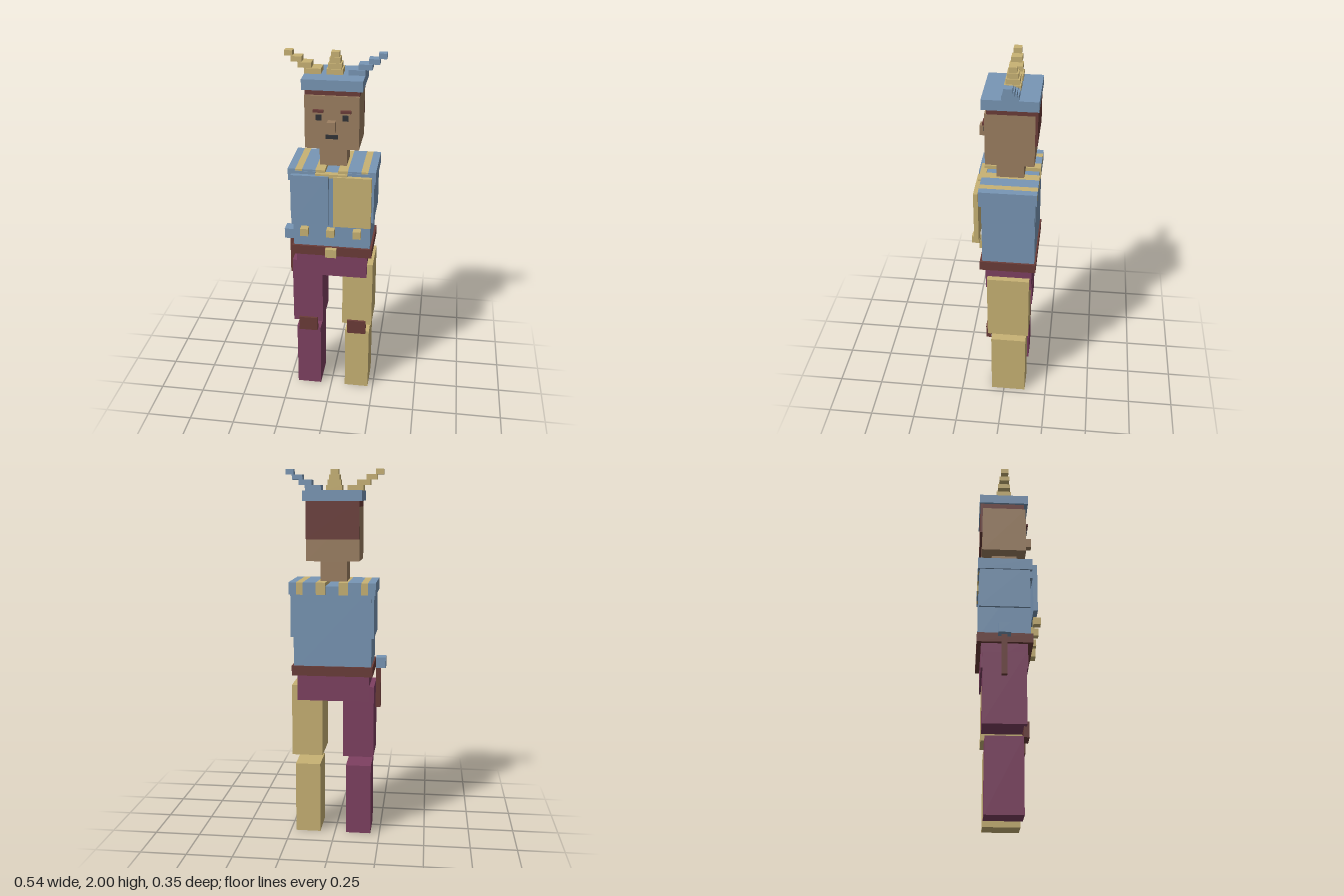
import * as THREE from 'three';

const mat = (name, color) => {
  const m = new THREE.MeshStandardMaterial({ color });
  m.name = name;
  return m;
};

export function createModel() {
  const blue = mat('blue cloth', 0x7896b5);
  const gold = mat('gold cloth', 0xc8b274);
  const skin = mat('skin', 0x9c7f61);
  const leather = mat('dark red leather', 0x6b3c38);
  const plum = mat('plum cloth', 0x7e4061);
  const dark = mat('dark features', 0x303236);

  const model = new THREE.Group();
  const CX = 0.01; // mirror plane of the figure

  // Box given by its extents on each axis
  const box = (name, m, [x0, x1], [y0, y1], [z0, z1]) => {
    const mesh = new THREE.Mesh(new THREE.BoxGeometry(x1 - x0, y1 - y0, z1 - z0), m);
    mesh.position.set((x0 + x1) / 2, (y0 + y1) / 2, (z0 + z1) / 2);
    mesh.name = name;
    model.add(mesh);
  };
  // Mirrored pair; offsets are measured outward from the mirror plane
  const pair = (name, mLeft, mRight, [a, b], y, z) => {
    box(name + 'Left', mLeft, [CX + a, CX + b], y, z);
    box(name + 'Right', mRight, [CX - b, CX - a], y, z);
  };

  // Legs, one of each colour
  pair('lowerLeg', gold, plum, [0.072, 0.21], [0, 0.397], [-0.125, 0.073]);
  pair('thigh', gold, plum, [0.056, 0.224], [0.455, 0.85], [-0.14, 0.09]);
  pair('kneePatch', leather, leather, [0.086, 0.192], [0.397, 0.48], [0.075, 0.103]);

  // Hips and belt
  box('hips', plum, [-0.188, 0.202], [0.77, 0.93], [-0.15, 0.1]);
  box('belt', leather, [-0.208, 0.228], [0.912, 0.965], [-0.173, 0.128]);
  box('buckle', gold, [-0.022, 0.038], [0.914, 0.963], [0.125, 0.155]);

  // Torso with wider sleeves above
  box('torso', blue, [-0.2, 0.217], [0.94, 1.395], [-0.165, 0.115]);
  pair('sleeve', blue, blue, [0.2, 0.223], [1.12, 1.385], [-0.163, 0.113]);

  // Coat fronts and buttons
  box('coatPanelRight', blue, [-0.202, -0.003], [1.105, 1.39], [0.13, 0.154]);
  box('coatPanelLeft', gold, [0.022, 0.222], [1.105, 1.39], [0.13, 0.154]);
  for (const x of [-0.132, 0.009, 0.15]) {
    box('button', gold, [x - 0.021, x + 0.021], [1.048, 1.09], [0.133, 0.174]);
  }

  // Striped shoulder cape, open along the middle
  const stripes = [[0.035, 0.085, gold], [0.085, 0.155, blue], [0.155, 0.191, gold], [0.191, 0.231, blue]];
  for (const [a, b, m] of stripes) {
    pair('capeStripe', m, m, [a, b], [1.35, 1.415], [-0.173, 0.126]);
  }
  pair('capeFlap', blue, blue, [0.085, 0.205], [1.31, 1.405], [0.11, 0.129]);
  box('collar', gold, [-0.074, 0.094], [1.38, 1.4], [0.11, 0.144]);

  // Neck and head
  box('neck', skin, [-0.063, 0.08], [1.413, 1.54], [-0.093, 0.05]);
  box('head', skin, [-0.132, 0.148], [1.525, 1.806], [-0.15, 0.1]);
  box('hairTop', leather, [-0.132, 0.148], [1.806, 1.84], [-0.15, 0.09]);
  box('hairBack', leather, [-0.132, 0.148], [1.64, 1.84], [-0.163, -0.15]);

  // Face
  pair('eye', dark, dark, [0.054, 0.083], [1.68, 1.708], [0.095, 0.11]);
  pair('eyebrow', leather, leather, [0.044, 0.098], [1.722, 1.735], [0.095, 0.116]);
  box('nose', skin, [-0.012, 0.03], [1.625, 1.68], [0.095, 0.14]);
  box('mouth', dark, [-0.024, 0.04], [1.582, 1.602], [0.095, 0.108]);

  // Hat with a stepped centre point and two stepped side horns
  box('hatBand', blue, [-0.145, 0.165], [1.836, 1.89], [-0.168, 0.113]);
  const zc = -0.0285;
  const hornX = [[0.07, 0.155], [0.12, 0.19], [0.17, 0.226], [0.218, 0.26]];
  for (let i = 0; i < 4; i++) {
    const h = 0.042 - i * 0.007;
    const y = [1.89 + i * 0.0275, 1.9175 + i * 0.0275];
    box('hatPointStep', gold, [CX - h, CX + h], y, [zc - h, zc + h]);
    pair('hornStep', blue, gold, hornX[i], y, [zc - h, zc + h]);
  }

  // Tool hung on the right side of the belt
  box('toolHead', blue, [-0.272, -0.218], [0.94, 0.998], [-0.062, 0.006]);
  box('toolHandle', leather, [-0.245, -0.218], [0.715, 0.94], [-0.043, -0.013]);

  return model;
}
